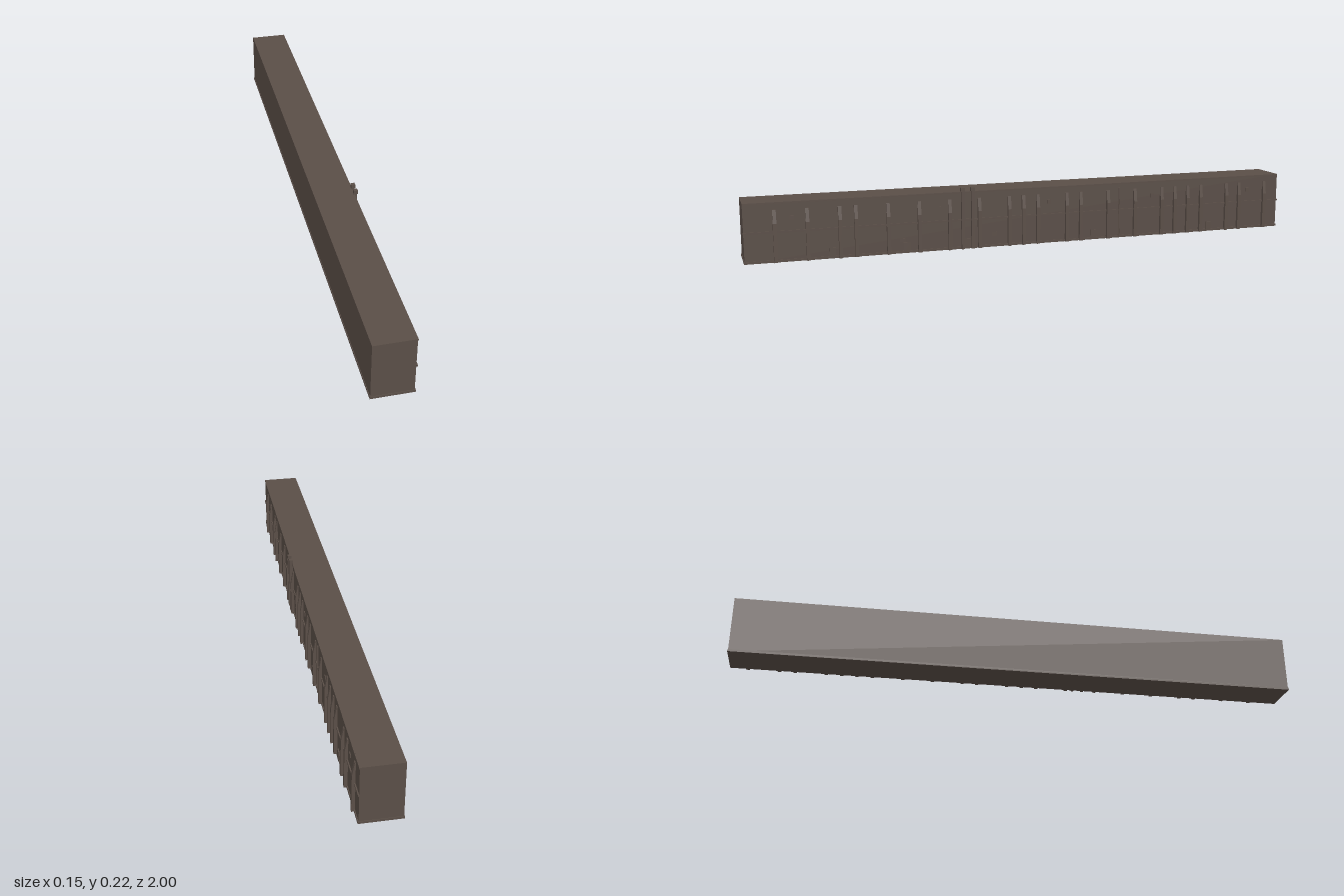
import * as THREE from 'three';

const stone = new THREE.MeshStandardMaterial({ color: 0x5a4e47, flatShading: true });
const WALL = 0.061; // x of the detailed wall face

export function createModel() {
  const model = new THREE.Group();

  // box given by its limits on each axis
  function block(name, x0, x1, y0, y1, z0, z1) {
    const mesh = new THREE.Mesh(new THREE.BoxGeometry(x1 - x0, y1 - y0, z1 - z0), stone);
    mesh.position.set((x0 + x1) / 2, (y0 + y1) / 2, (z0 + z1) / 2);
    mesh.name = name;
    model.add(mesh);
    return mesh;
  }

  // main mass with its plinth and thin rails
  block('body', -0.073, WALL, 0, 0.203, -0.998, 0.998);
  block('plinth', -0.075, WALL + 0.003, 0, 0.008, -1, 1);
  block('middleRail', WALL - 0.001, WALL + 0.004, 0.1, 0.106, -1, 1);
  block('topRail', WALL - 0.001, WALL + 0.002, 0.198, 0.203, -0.998, 0.998);

  // buttresses: upright faces with a long sloping head
  const profile = new THREE.Shape([
    [WALL - 0.002, 0], [0.072, 0], [0.072, 0.132], [0.064, 0.178], [WALL - 0.002, 0.178],
  ].map(([x, y]) => new THREE.Vector2(x, y)));
  const buttressGeometry = new THREE.ExtrudeGeometry(profile, { depth: 0.012, bevelEnabled: false });
  buttressGeometry.translate(0, 0, -0.006);
  const buttressZ = [
    0.897, 0.79, 0.682, 0.628, 0.518, 0.41, 0.302, 0.195, 0.085, 0.032, -0.022, -0.132,
    -0.186, -0.293, -0.4, -0.508, -0.562, -0.615, -0.67, -0.778, -0.832, -0.94,
  ];
  for (const z of buttressZ) {
    const buttress = new THREE.Mesh(buttressGeometry, stone);
    buttress.position.z = z;
    buttress.name = 'buttress';
    model.add(buttress);
  }

  // paired stacks rising above the roof, each with a wider cap
  for (const z of [0.256, 0.22]) {
    block('stack', WALL - 0.001, 0.072, 0, 0.205, z - 0.005, z + 0.005);
    block('stackCap', 0.06, 0.074, 0.204, 0.217, z - 0.007, z + 0.007);
  }

  // low hatches at the foot of the wall
  for (const z of [0.71, 0.455, 0.24, -0.235, -0.705]) {
    block('hatch', WALL - 0.001, WALL + 0.004, 0.002, 0.036, z - 0.011, z + 0.011);
  }

  // small square vents
  for (const z of [0.84, 0.34, -0.065, -0.47, -0.87]) {
    block('vent', WALL - 0.001, WALL + 0.003, 0.142, 0.156, z - 0.007, z + 0.007);
  }
  for (const z of [0.47, 0.14]) {
    block('lowVent', WALL - 0.001, WALL + 0.003, 0.04, 0.052, z - 0.009, z + 0.009);
  }

  // thin downpipe
  const pipe = new THREE.Mesh(new THREE.CylinderGeometry(0.003, 0.003, 0.185, 6), stone);
  pipe.position.set(WALL + 0.002, 0.0925, -0.337);
  pipe.name = 'downpipe';
  model.add(pipe);

  return model;
}
